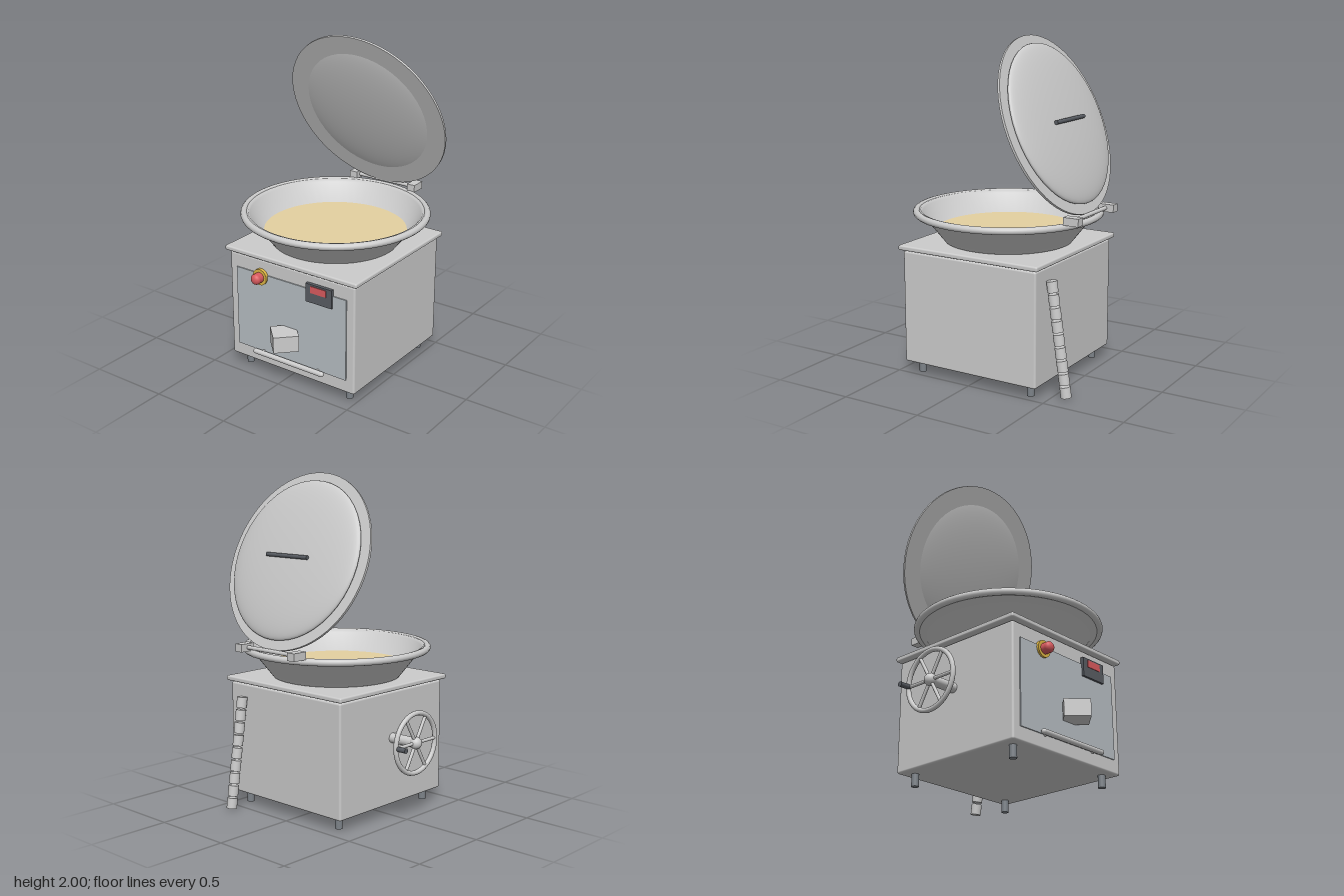
import * as THREE from 'three';
import { RoundedBoxGeometry } from 'three/addons/geometries/RoundedBoxGeometry.js';

const CX = 0.06, CZ = -0.005; // centre of the cabinet and pan

export function createModel() {
  const model = new THREE.Group();
  const mat = (color, side = THREE.FrontSide) => new THREE.MeshStandardMaterial({ color, side });
  const grey = mat(0xcccccc), greyDouble = mat(0xcccccc, THREE.DoubleSide);
  const panelMat = mat(0xb6bdc2), footMat = mat(0x7c8288), dark = mat(0x585c62);
  const red = mat(0xd85a5e), yellow = mat(0xdcb444), oilMat = mat(0xe4d0a0);

  const add = (name, geometry, x, y, z, material = grey, parent = model) => {
    const mesh = new THREE.Mesh(geometry, material);
    mesh.name = name;
    mesh.position.set(x, y, z);
    parent.add(mesh);
    return mesh;
  };
  const group = (name, x, y, z) => {
    const g = new THREE.Group();
    g.name = name;
    g.position.set(x, y, z);
    model.add(g);
    return g;
  };
  const box = (w, h, d) => new THREE.BoxGeometry(w, h, d);
  const rod = (r, length, sides = 20) => new THREE.CylinderGeometry(r, r, length, sides);
  const rodX = (r, length, sides) => rod(r, length, sides).rotateZ(Math.PI / 2);
  const rodZ = (r, length, sides) => rod(r, length, sides).rotateX(Math.PI / 2);

  // Cabinet with top plate and feet
  add('cabinet', new RoundedBoxGeometry(0.9, 0.68, 0.9, 3, 0.012), CX, 0.413, CZ);
  add('cabinetNeck', box(0.86, 0.03, 0.86), CX, 0.757, CZ);
  add('topPlate', new RoundedBoxGeometry(0.946, 0.03, 0.942, 3, 0.01), CX, 0.775, CZ);
  for (const sx of [-1, 1])
    for (const sz of [-1, 1])
      add('foot', rod(0.022, 0.085), CX + sx * 0.372, 0.0425, CZ + sz * 0.377, footMat);

  // Front panel and its fittings
  add('frontPanel', box(0.793, 0.51, 0.012), CX, 0.41, 0.446, panelMat);
  add('stopButtonRing', rodZ(0.05, 0.02, 32), -0.153, 0.648, 0.455, yellow);
  add('stopButtonStem', rodZ(0.032, 0.035, 24), -0.153, 0.648, 0.48, red);
  add('stopButtonCap', new THREE.SphereGeometry(0.033, 24, 16).scale(1, 1, 0.8), -0.153, 0.648, 0.498, red);
  add('controlBox', box(0.18, 0.115, 0.024), 0.275, 0.648, 0.454, dark);
  add('display', box(0.108, 0.042, 0.006), 0.275, 0.674, 0.467, red);
  add('spout', box(0.15, 0.1, 0.15), 0.058, 0.325, 0.506).rotation.y = Math.PI / 4;
  add('drawerHandle', new THREE.CapsuleGeometry(0.016, 0.485, 6, 16).rotateZ(Math.PI / 2), CX, 0.157, 0.478);
  for (const s of [-1, 1]) add('drawerHandlePost', rodZ(0.01, 0.04), CX + s * 0.2, 0.157, 0.462);

  // Flared pan with rolled rim, filled with oil
  const panProfile = [
    [0, 0.788], [0.37, 0.788], [0.385, 0.793], [0.508, 0.95], [0.55, 0.953],
    [0.55, 0.98], [0.522, 0.98], [0.512, 0.966], [0.385, 0.8], [0, 0.796],
  ].map(([r, y]) => new THREE.Vector2(r, y));
  add('pan', new THREE.LatheGeometry(panProfile, 64), CX, 0, CZ, greyDouble);
  add('panRim', new THREE.TorusGeometry(0.547, 0.021, 12, 64).rotateX(Math.PI / 2), CX, 0.967, CZ);
  add('oil', new THREE.CylinderGeometry(0.43, 0.39, 0.04, 64), CX, 0.838, CZ, oilMat);

  // Open lid: a flat disc with a lens-shaped dome through it; local +z is the outer side
  const lid = group('lid', CX, 1.505, -0.332);
  lid.rotation.set(THREE.MathUtils.degToRad(22.5), Math.PI, 0);
  add('lidFlange', rodZ(0.537, 0.014, 64), 0, 0, 0, grey, lid);
  add('lidDome', new THREE.SphereGeometry(0.482, 48, 32).rotateX(Math.PI / 2).scale(1, 1, 0.125),
    0, 0, 0.023, grey, lid);
  add('lidHandle', rodX(0.012, 0.325), 0, 0, 0.09, dark, lid);

  // Hinge
  for (const s of [-1, 1]) add('hingeBlock', box(0.053, 0.046, 0.095), CX + s * 0.215, 1.005, -0.556);
  add('hingeBar', rodX(0.012, 0.48), CX, 1.005, -0.55);

  // Tilting handwheel on the right side
  const wheel = group('handwheel', -0.565, 0.475, -0.007);
  add('wheelRim', new THREE.TorusGeometry(0.176, 0.0145, 12, 48).rotateY(Math.PI / 2), 0, 0, 0, grey, wheel);
  add('wheelHub', new THREE.SphereGeometry(0.036, 24, 16), 0, 0, 0, grey, wheel);
  add('wheelShaft', rodX(0.03, 0.2, 24), 0.09, 0, 0, grey, wheel);
  for (let i = 0; i < 6; i++) {
    const spoke = rod(0.01, 0.17, 12).translate(0, 0.09, 0).rotateX(-Math.PI / 2 + i * Math.PI / 3);
    add('wheelSpoke', spoke, 0, 0, 0, grey, wheel);
  }
  add('wheelGrip', rodX(0.015, 0.07), -0.036, 0, -0.17, dark, wheel);

  // Segmented hose sloping down the back
  for (let i = 0; i < 9; i++) {
    const t = i / 8;
    const segment = add('hoseSegment', rod(0.031, 0.064, 24), 0.382, 0.648 - 0.604 * t, -0.489 - 0.09 * t);
    segment.rotation.x = 0.148;
  }

  return model;
}
